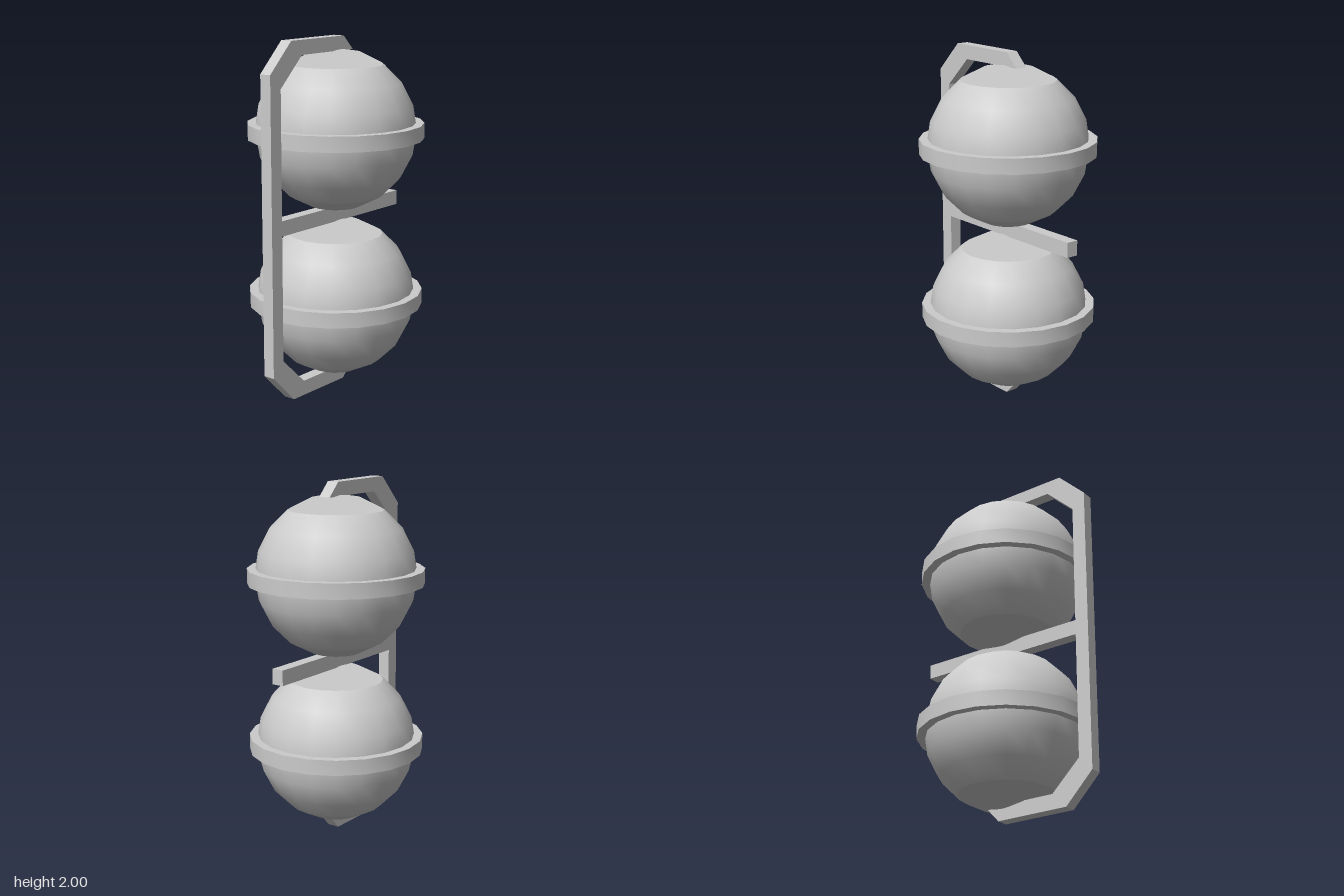
import * as THREE from 'three';
import { toCreasedNormals } from 'three/addons/utils/BufferGeometryUtils.js';

const CENTER_X = 0.017, RADIUS = 0.455, SIDES = 20, STEP = Math.PI / 10;

// Shallow polar cap, shaded as one flat-facing patch
function polarCap(sign) {
  const start = sign > 0 ? 0 : 8 * STEP;
  const geometry = new THREE.SphereGeometry(RADIUS, SIDES, 2, 0, Math.PI * 2, start, 2 * STEP);
  const normal = geometry.attributes.normal;
  for (let i = 0; i < normal.count; i++) normal.setXYZ(i, 0, sign, 0);
  return geometry;
}

export function createModel() {
  const model = new THREE.Group();
  const material = new THREE.MeshStandardMaterial({ color: 0xcccccc });
  const add = (parent, name, geometry) => {
    const mesh = new THREE.Mesh(geometry, material);
    mesh.name = name;
    parent.add(mesh);
    return mesh;
  };

  // Side bracket: upright, chamfered top and bottom arms, middle bar
  const outline = [
    [-0.555, 0.17], [-0.39, 0], [0.045, 0], [0.125, 0.085], [-0.305, 0.085],
    [-0.475, 0.25], [-0.475, 0.96], [0.55, 0.96], [0.55, 1.045], [-0.475, 1.045],
    [-0.475, 1.755], [-0.305, 1.92], [0.125, 1.92], [0.045, 2], [-0.39, 2], [-0.555, 1.835],
  ];
  const shape = new THREE.Shape(outline.map(([x, y]) => new THREE.Vector2(x, y)));
  const bracket = new THREE.ExtrudeGeometry(shape, { depth: 0.07, bevelEnabled: false });
  bracket.translate(0, 0, -0.035);
  add(model, 'bracket', bracket);

  // Flat band around each ball's equator
  const profile = [[0.435, -0.043], [0.497, -0.043], [0.497, 0.043], [0.435, 0.043], [0.435, -0.043]];
  const band = toCreasedNormals(
    new THREE.LatheGeometry(profile.map(([x, y]) => new THREE.Vector2(x, y)), SIDES), 0.6);
  const body = new THREE.SphereGeometry(RADIUS, SIDES, 6, 0, Math.PI * 2, 2 * STEP, 6 * STEP);

  // Two identical banded balls
  for (const [name, y] of [['lowerBall', 0.515], ['upperBall', 1.477]]) {
    const ball = new THREE.Group();
    ball.name = name;
    ball.position.set(CENTER_X, y, 0);
    add(ball, 'ballBody', body);
    add(ball, 'topCap', polarCap(1));
    add(ball, 'bottomCap', polarCap(-1));
    add(ball, 'equatorBand', band);
    model.add(ball);
  }
  return model;
}
